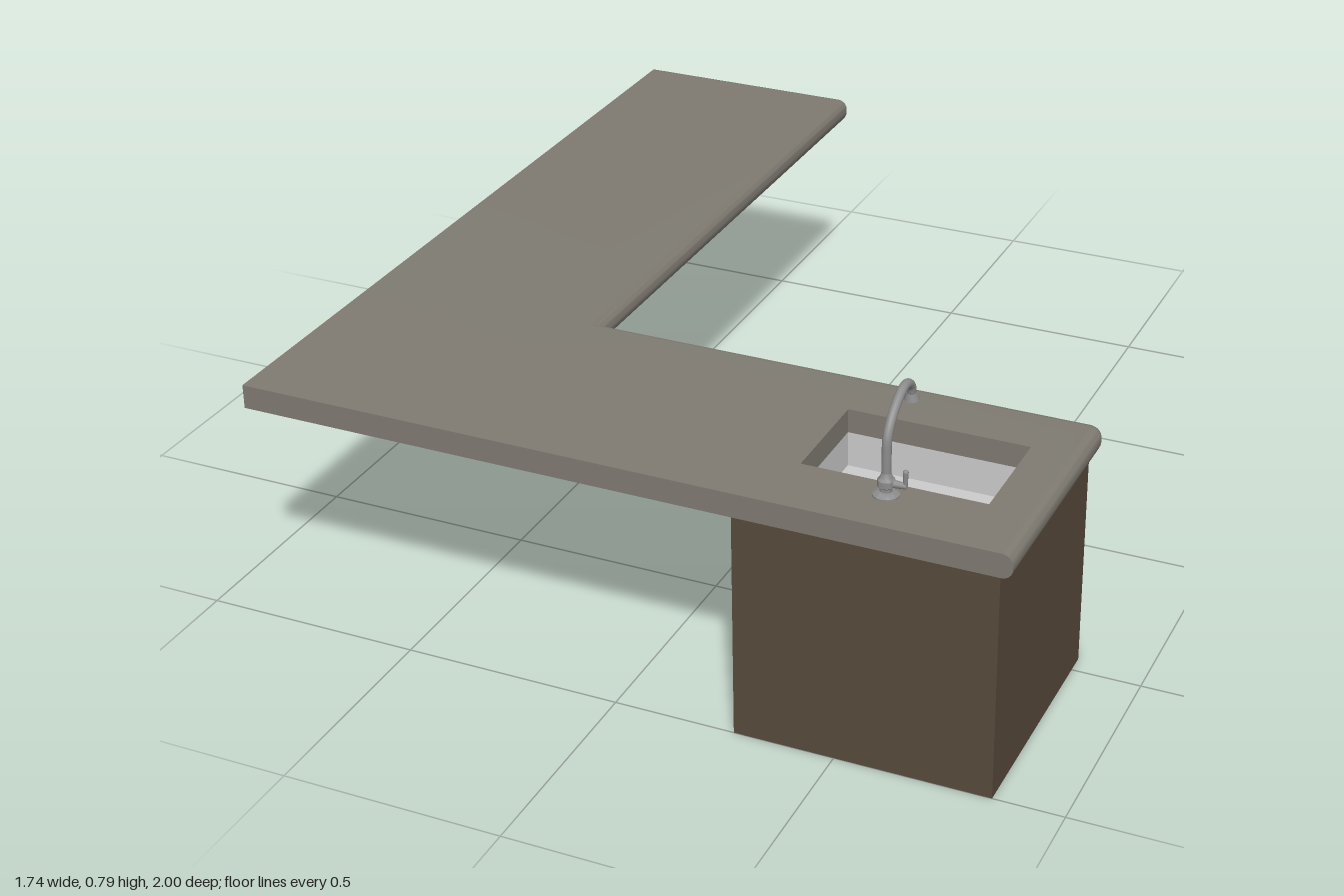
import * as THREE from 'three';
import { mergeGeometries, toCreasedNormals } from 'three/addons/utils/BufferGeometryUtils.js';

const paint = (color) => new THREE.MeshStandardMaterial({ color, side: THREE.DoubleSide });
const STONE = paint(0x7f7b72), WOOD = paint(0x574a3c), DOOR = paint(0x866a4c);
const STEEL = paint(0xcccccc), METAL = paint(0x8c8c8c);

const TOP = 0.575, UNDER = 0.52; // worktop faces
const SINK = { x0: 0.355, x1: 0.76, z0: 0.585, z1: 0.835, floor: 0.44 };

function add(parent, name, geometry, material, x = 0, y = 0, z = 0) {
  const mesh = new THREE.Mesh(geometry, material);
  mesh.name = name;
  mesh.position.set(x, y, z);
  parent.add(mesh);
  return mesh;
}

// Box given by its minimum and maximum corners
function addBox(parent, name, material, a, b) {
  const size = a.map((v, i) => b[i] - v), mid = a.map((v, i) => (v + b[i]) / 2);
  return add(parent, name, new THREE.BoxGeometry(...size), material, ...mid);
}

// Wall through closed [x, z] outlines stacked at the given heights
function loft(rows) {
  const n = rows[0].points.length, position = [], index = [];
  for (const { y, points } of rows) for (const [x, z] of points) position.push(x, y, z);
  for (let r = 0; r < rows.length - 1; r++) {
    for (let i = 0; i < n; i++) {
      const a = r * n + i, b = r * n + (i + 1) % n;
      index.push(a, a + n, b, b, a + n, b + n);
    }
  }
  const geometry = new THREE.BufferGeometry();
  geometry.setAttribute('position', new THREE.Float32BufferAttribute(position, 3));
  geometry.setIndex(index);
  geometry.computeVertexNormals();
  return geometry.toNonIndexed();
}

// Flat face with an optional hole, facing up (side = 1) or down (side = -1)
function cap(points, hole, y, side) {
  const flat = (list) => list.map(([x, z]) => new THREE.Vector2(x, -side * z));
  const shape = new THREE.Shape(flat(points));
  if (hole) shape.holes.push(new THREE.Path(flat(hole)));
  const geometry = new THREE.ShapeGeometry(shape).rotateX(-side * Math.PI / 2).translate(0, y, 0);
  geometry.deleteAttribute('uv');
  return geometry.toNonIndexed();
}

// L-shaped outline, inset by d along its rounded edges only
function counterOutline(d) {
  const points = [[-0.87, 1], [-0.87, -1 + d]];
  const corner = (x, z) => {
    const R = 0.03;
    for (let i = 0; i <= 6; i++) {
      const t = (i / 6) * Math.PI / 2;
      points.push([x - R + (R - d) * Math.sin(t), z + R - (R - d) * Math.cos(t)]);
    }
  };
  corner(-0.3, -1);
  points.push([-0.3 - d, 0.43 + d]);
  corner(0.87, 0.43);
  points.push([0.87 - d, 1]);
  return points;
}

function buildCounter(sinkRim) {
  const r = 0.024, rows = [];
  for (let i = 0; i <= 6; i++) {
    const t = (i / 6) * Math.PI / 2;
    rows.push({ y: UNDER + r * (1 - Math.cos(t)), points: counterOutline(r * (1 - Math.sin(t))) });
  }
  for (let i = 0; i <= 6; i++) {
    const t = (i / 6) * Math.PI / 2;
    rows.push({ y: TOP - r * (1 - Math.sin(t)), points: counterOutline(r * (1 - Math.cos(t))) });
  }
  const inset = counterOutline(r);
  return toCreasedNormals(mergeGeometries([
    loft(rows),
    cap(inset, sinkRim, TOP, 1),
    cap(inset, sinkRim, UNDER, -1),
    loft([{ y: TOP, points: sinkRim }, { y: UNDER, points: sinkRim }]),
  ]), 0.6);
}

function buildCabinet() {
  const cabinet = new THREE.Group();
  cabinet.name = 'cabinet';
  const x0 = 0.275, x1 = 0.845, z0 = 0.455, z1 = 1, t = 0.015;
  addBox(cabinet, 'frontPanel', WOOD, [x0, 0, z1 - t], [x1, UNDER, z1]);
  addBox(cabinet, 'backFrame', WOOD, [x0, 0, z0], [x1, UNDER, z0 + t]);
  addBox(cabinet, 'rightPanel', WOOD, [x0, 0, z0 + t], [x0 + t, UNDER, z1 - t]);
  addBox(cabinet, 'leftPanel', WOOD, [x1 - t, 0, z0 + t], [x1, UNDER, z1 - t]);
  addBox(cabinet, 'floorPanel', WOOD, [x0 + t, 0, z0 + t], [x1 - t, t, z1 - t]);

  // Mirrored doors, each with a turned knob near the middle
  const knob = new THREE.LatheGeometry([[0, 0], [0.005, 0], [0.004, 0.006], [0.01, 0.009],
    [0.011, 0.012], [0.008, 0.016], [0, 0.017]].map(([x, y]) => new THREE.Vector2(x, y)), 16);
  const middle = (x0 + x1) / 2;
  for (const [side, label] of [[-1, 'right'], [1, 'left']]) {
    const inner = middle + side * 0.003, outer = middle + side * 0.28;
    addBox(cabinet, label + 'Door', DOOR,
      [Math.min(inner, outer), 0.015, 0.44], [Math.max(inner, outer), 0.51, z0]);
    add(cabinet, label + 'Knob', knob, METAL, middle + side * 0.036, 0.325, 0.44).rotation.x = -Math.PI / 2;
  }
  return cabinet;
}

function buildFaucet() {
  const faucet = new THREE.Group();
  faucet.name = 'faucet';
  faucet.position.set(0.56, TOP, 0.882);
  // Turned base with a collar
  const profile = [[0, 0], [0.028, 0], [0.028, 0.004], [0.022, 0.009], [0.013, 0.011], [0.013, 0.018],
    [0.018, 0.022], [0.018, 0.036], [0.013, 0.042], [0.01, 0.052]];
  add(faucet, 'base', toCreasedNormals(new THREE.LatheGeometry(
    profile.map(([x, y]) => new THREE.Vector2(x, y)), 24), 0.6), METAL);
  // Gooseneck spout reaching over the basin
  const path = new THREE.CatmullRomCurve3([[0.04, 0], [0.09, 0], [0.128, -0.003], [0.161, -0.024],
    [0.187, -0.057], [0.2, -0.088], [0.197, -0.11], [0.184, -0.126], [0.162, -0.133]]
    .map(([y, z]) => new THREE.Vector3(0, y, z)));
  add(faucet, 'spout', new THREE.TubeGeometry(path, 48, 0.01, 14), METAL);
  const nozzle = add(faucet, 'nozzle', new THREE.CylinderGeometry(0.011, 0.016, 0.016, 18),
    METAL, 0, 0.158, -0.133);
  nozzle.rotation.x = 0.1;
  // Side lever
  add(faucet, 'leverArm', new THREE.CylinderGeometry(0.006, 0.009, 0.034, 12),
    METAL, 0.027, 0.029, 0).rotation.z = -Math.PI / 2;
  add(faucet, 'leverHandle', new THREE.CylinderGeometry(0.006, 0.004, 0.034, 12), METAL, 0.041, 0.043, 0);
  add(faucet, 'leverTip', new THREE.SphereGeometry(0.006, 12, 8), METAL, 0.041, 0.06, 0);
  return faucet;
}

export function createModel() {
  const model = new THREE.Group();
  model.name = 'kitchenCounter';
  const { x0, x1, z0, z1, floor } = SINK;
  const rim = [[x0, z1], [x0, z0], [x1, z0], [x1, z1]];
  add(model, 'worktop', buildCounter(rim), STONE);
  // Open basin below the worktop
  add(model, 'sinkBasin', mergeGeometries([
    loft([{ y: UNDER + 0.02, points: rim }, { y: floor, points: rim }]),
    cap(rim, null, floor, 1),
  ]), STEEL);
  model.getObjectByName('sinkBasin').geometry = toCreasedNormals(
    mergeGeometries([
      loft([{ y: UNDER, points: rim }, { y: floor, points: rim }]),
      cap(rim, null, floor, 1),
    ]), 0.5);
  model.add(buildCabinet(), buildFaucet());
  return model;
}
